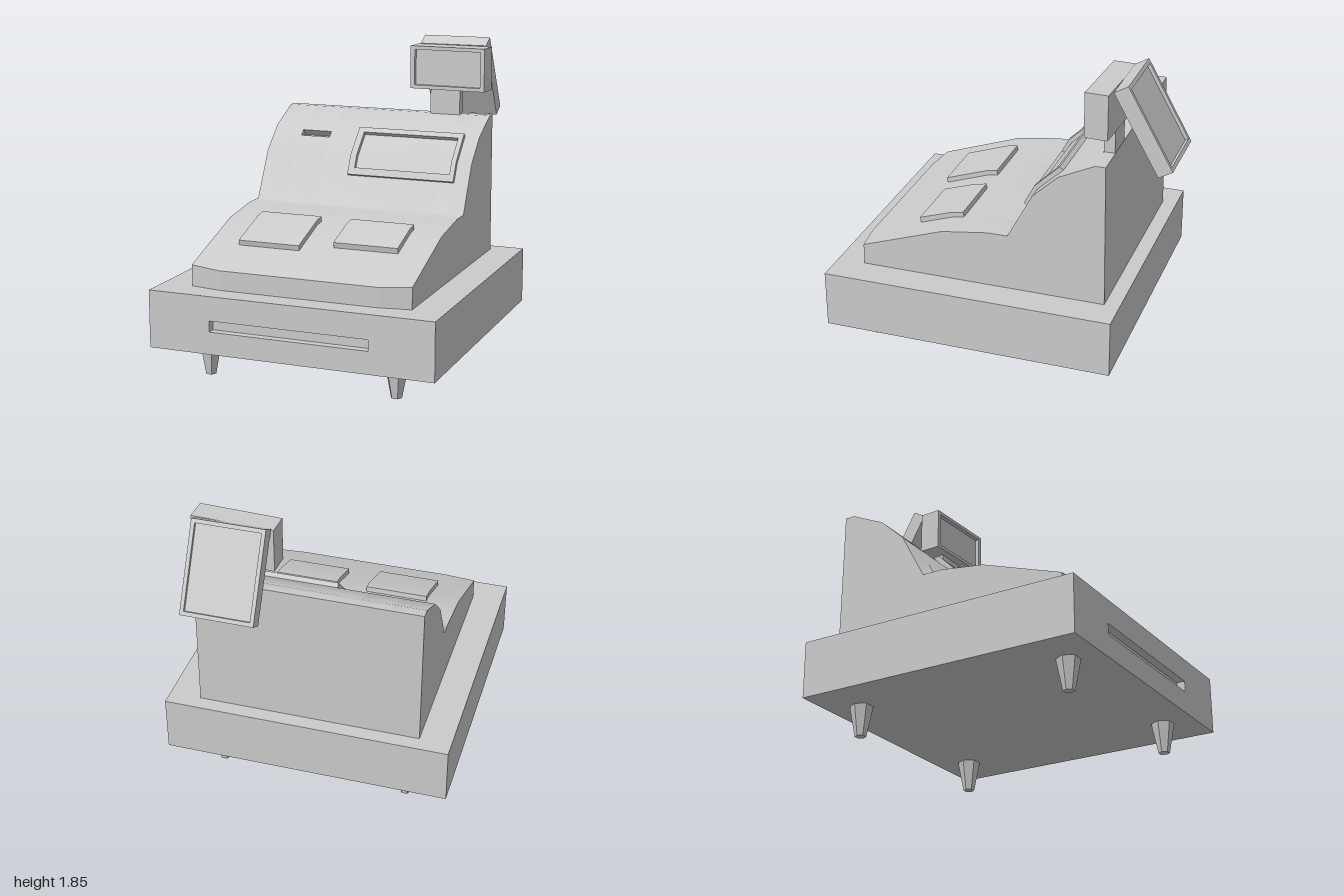
import * as THREE from 'three';
import { toCreasedNormals } from 'three/addons/utils/BufferGeometryUtils.js';

const material = new THREE.MeshStandardMaterial({ color: 0xcccccc });

function mesh(name, geometry, x = 0, y = 0, z = 0) {
  const m = new THREE.Mesh(geometry, material);
  m.name = name;
  m.position.set(x, y, z);
  return m;
}

// Side profile of [z, y] points, extruded across from x0 to x1
function acrossX(points, x0, x1) {
  const shape = new THREE.Shape(points.map(([z, y]) => new THREE.Vector2(z, y)));
  const g = new THREE.ExtrudeGeometry(shape, { depth: x1 - x0, bevelEnabled: false });
  return g.rotateY(-Math.PI / 2).translate(x1, 0, 0);
}

// Centred box with a rectangular recess in its +z face
function recessedBox(name, w, h, d, holeW, holeH, recess, holeY = 0) {
  const rect = (Type, a, b, y) => new Type([[-a, -b], [a, -b], [a, b], [-a, b]]
    .map(([px, py]) => new THREE.Vector2(px / 2, py / 2 + y)));
  const shape = rect(THREE.Shape, w, h, 0);
  shape.holes.push(rect(THREE.Path, holeW, holeH, holeY));
  const rim = new THREE.ExtrudeGeometry(shape, { depth: recess, bevelEnabled: false });
  const group = new THREE.Group();
  group.name = name;
  group.add(mesh(name + 'Rim', rim, 0, 0, d / 2 - recess));
  group.add(mesh(name + 'Back', new THREE.BoxGeometry(w, h, d - recess), 0, 0, -recess / 2));
  return group;
}

export function createModel() {
  const model = new THREE.Group();
  model.name = 'cashRegister';

  // Drawer base with a pull slot in the front
  const base = recessedBox('drawerBase', 1.72, 0.34, 1.74, 0.96, 0.065, 0.05, -0.005);
  base.position.set(0, 0.35, 0.13);
  model.add(base);

  // Tapered feet
  for (const x of [-0.573, 0.573]) {
    for (const z of [0.805, -0.54]) {
      const foot = new THREE.CylinderGeometry(0.068, 0.033, 0.18, 6).rotateY(Math.PI / 6);
      const m = mesh('foot', toCreasedNormals(foot, 0.3), x, 0.09, z);
      model.add(m);
    }
  }

  // Housing, split across x so the middle piece can carry the receipt slot
  const lower = [[-0.65, 0.52], [0.86, 0.52], [0.86, 0.635], [0.33, 0.82],
    [0.05, 0.86], [-0.07, 0.86], [-0.22, 1.14]];
  const slot = [[-0.317, 1.23], [-0.352, 1.192], [-0.383, 1.222], [-0.348, 1.26]];
  const upper = [[-0.37, 1.28], [-0.58, 1.38], [-0.64, 1.38]];
  const plain = [...lower, ...upper];
  const slotted = [...lower, ...slot, ...upper];
  const housing = new THREE.Group();
  housing.name = 'housing';
  for (const [profile, x0, x1] of [[plain, -0.67, -0.48], [slotted, -0.48, -0.29],
    [plain, -0.29, 0.48], [plain, 0.48, 0.67]]) {
    const g = acrossX(profile, x0, x1);
    // Draw the front corners back a little
    const p = g.attributes.position;
    for (let i = 0; i < p.count; i++) {
      if (Math.abs(p.getX(i)) > 0.6 && p.getZ(i) > 0.8) {
        p.setZ(i, 0.83);
        if (p.getY(i) > 0.6) p.setY(i, 0.645);
      }
    }
    housing.add(mesh('housingSection', toCreasedNormals(g, 1.15)));
  }
  model.add(housing);

  // Raised key pads on the lower slope
  for (const [name, x0, x1, z, y] of [['rightKeyPad', -0.48, -0.1, 0.6, 0.757],
    ['leftKeyPad', 0.09, 0.48, 0.54, 0.78]]) {
    const profile = [[0.262, 0.81], [0.27, 0.86], [0.34, 0.848], [z + 0.004, y], [z - 0.004, y - 0.04]];
    model.add(mesh(name, toCreasedNormals(acrossX(profile, x0, x1), 0.5)));
  }

  // Raised frame around the operator display
  const side = [[-0.14, 1.04], [-0.2, 1.155], [-0.35, 1.3], [-0.385, 1.27], [-0.24, 1.12], [-0.18, 1.02]];
  const bottom = [[-0.14, 1.04], [-0.161, 1.08], [-0.2, 1.06], [-0.18, 1.02]];
  const top = [[-0.324, 1.275], [-0.35, 1.3], [-0.385, 1.27], [-0.36, 1.24]];
  const frame = new THREE.Group();
  frame.name = 'displayFrame';
  for (const [profile, x0, x1] of [[side, -0.1, -0.06], [side, 0.55, 0.58],
    [bottom, -0.06, 0.55], [top, -0.06, 0.55]]) {
    frame.add(mesh('frameBar', toCreasedNormals(acrossX(profile, x0, x1), 0.5)));
  }
  model.add(frame);

  // Pole with a front screen and a tilted customer screen at the back
  model.add(mesh('screenPole', new THREE.BoxGeometry(0.19, 0.22, 0.065), 0.383, 1.47, -0.605));

  const frontScreen = recessedBox('frontScreen', 0.485, 0.265, 0.135, 0.43, 0.22, 0.025);
  frontScreen.position.set(0.413, 1.666, -0.588);
  frontScreen.rotation.y = -0.05;
  model.add(frontScreen);

  const rearScreen = recessedBox('customerScreen', 0.425, 0.533, 0.092, 0.38, 0.485, 0.02);
  rearScreen.position.set(0.403, 1.592, -0.829);
  rearScreen.rotation.set(0.51, Math.PI, 0);
  model.add(rearScreen);

  return model;
}
